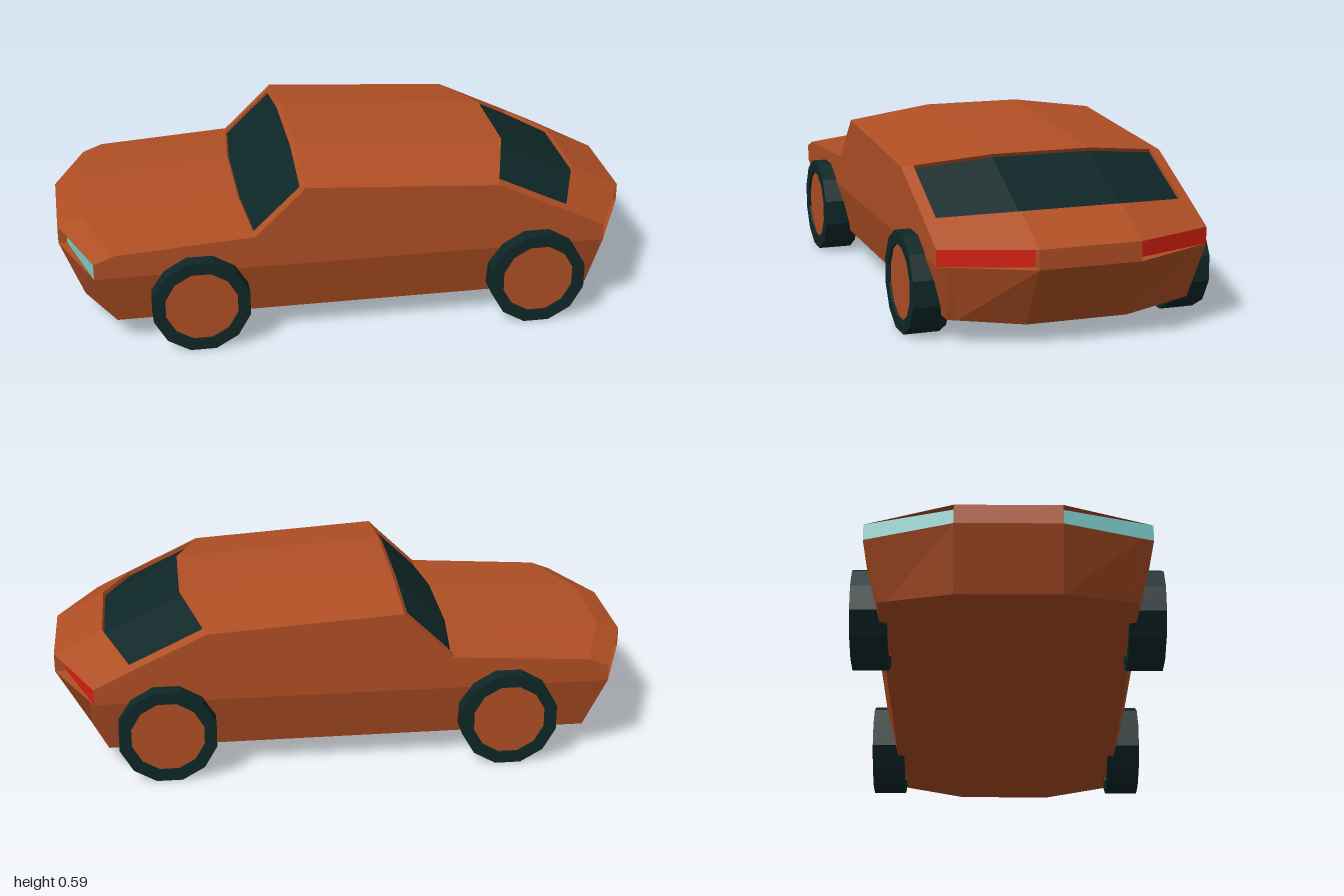
import * as THREE from 'three';

const mat = (name, color) => {
  const m = new THREE.MeshStandardMaterial({ color });
  m.name = name;
  return m;
};

// Collects flat polygons as fans of separate triangles
class Faces {
  constructor() { this.data = []; }
  add(points, flip = false) {
    const p = flip ? [...points].reverse() : points;
    for (let i = 1; i < p.length - 1; i++) {
      for (const v of [p[0], p[i], p[i + 1]]) this.data.push(...v);
    }
  }
  mesh(name, material) {
    const g = new THREE.BufferGeometry();
    g.setAttribute('position', new THREE.Float32BufferAttribute(this.data, 3));
    g.computeVertexNormals();
    const m = new THREE.Mesh(g, material);
    m.name = name;
    return m;
  }
}

// Body loop seen from the side: centre x, y, edge x, y, edge z
const W = 0.457, C = 0.17, WAIST = 0.27;
const ROWS = [
  [-1, 0.335, -0.89, 0.325, W],       // nose top
  [-0.92, 0.365, -0.82, 0.352, W],    // bonnet front
  [-0.375, 0.40, -0.35, 0.383, W],    // windscreen base
  [-0.19, 0.578, -0.195, 0.533, W],   // windscreen top
  [-0.175, 0.592, -0.18, 0.55, W],    // roof front
  [0.56, 0.548, 0.48, 0.508, W],      // roof rear
  [0.83, 0.418, 0.725, 0.391, W],     // rear deck
  [1, 0.335, 0.86, 0.325, W],         // tail top
  [1, WAIST, 0.86, WAIST, W],         // tail waist
  [0.885, 0.065, 0.82, 0.085, 0.412], // rear floor
  [-0.92, 0.065, -0.82, 0.085, 0.412],// front floor
  [-1, WAIST, -0.89, WAIST, W],       // nose waist
];
const COLUMNS = [-1, -0.87, 0, 0, 0.87, 1];
const at = (i, j) => {
  const [cx, cy, ex, ey, ez] = ROWS[i % ROWS.length];
  const t = Math.abs(COLUMNS[j]);
  const z = C + (ez - C) * t;
  return [cx + (ex - cx) * t, cy + (ey - cy) * t, j < 3 ? -z : z];
};

export function createModel() {
  const paint = mat('orange paint', 0xb04f24);
  const dark = mat('dark glass and rubber', 0x0f2727);
  const red = mat('red lamp', 0xd62010);
  const pale = mat('pale blue lamp', 0x7cccc8);
  const car = new THREE.Group();
  car.name = 'car';

  // Shell, leaving openings for the two windows and the lamps
  const body = new Faces();
  const isWindow = (i) => i === 2 || i === 5;
  const isLamp = (i) => i === 7 || i === 11;
  for (let i = 0; i < ROWS.length; i++) {
    for (let j = 0; j < 5; j++) {
      if (isWindow(i) && j > 0 && j < 4) continue;
      if (isLamp(i) && j !== 2) continue;
      body.add([at(i, j), at(i, j + 1), at(i + 1, j + 1), at(i + 1, j)]);
    }
  }

  // Flat sides above the waist and tapered sills below
  for (const j of [0, 5]) {
    for (let i = 0; i < 7; i++) {
      const a = at(i, j), b = at(i + 1, j);
      body.add([[a[0], WAIST, a[2]], [b[0], WAIST, b[2]], b, a], j === 0);
    }
    body.add([at(10, j), at(9, j), at(8, j), at(11, j)], j === 0);
  }

  // Recessed windows with a painted rim
  for (const [name, i, dx, dy] of [['windscreen', 2, 0.006, -0.006], ['rearWindow', 5, -0.007, -0.012]]) {
    const glass = new Faces();
    const sink = ([x, y, z]) => [x + dx, y + dy, z];
    const ring = [1, 2, 3, 4].map((j) => at(i, j)).concat([4, 3, 2, 1].map((j) => at(i + 1, j)));
    for (let j = 1; j < 4; j++) {
      glass.add([at(i, j), at(i, j + 1), at(i + 1, j + 1), at(i + 1, j)].map(sink));
    }
    ring.forEach((p, k) => {
      const q = ring[(k + 1) % ring.length];
      body.add([p, q, sink(q), sink(p)]);
    });
    car.add(glass.mesh(name, dark));
  }

  // Lamps set into the slanted corners
  for (const end of [1, -1]) {
    for (const side of [1, -1]) {
      const flip = end * side < 0;
      const j = side > 0 ? 5 : 0;
      const top = end > 0 ? 7 : 0, low = end > 0 ? 8 : 11;
      const outerTop = at(top, j), outerLow = at(low, j);
      const noseTop = [end, 0.335, C * side], noseLow = [end, WAIST, C * side];
      const x = end > 0 ? 0.96 : -0.97;
      const insetTop = [x, 0.335, C * side], insetLow = [x, WAIST, C * side];
      const lamp = new Faces();
      lamp.add([outerLow, insetLow, insetTop, outerTop], flip);
      body.add([insetLow, noseLow, noseTop, insetTop], flip);
      body.add([outerLow, noseLow, insetLow], flip);
      body.add([outerTop, insetTop, noseTop], flip);
      const label = side > 0 ? 'Near' : 'Far';
      car.add(lamp.mesh((end > 0 ? 'tailLamp' : 'headLamp') + label, end > 0 ? red : pale));
    }
  }
  car.add(body.mesh('body', paint));

  // Twelve-sided wheels with flats at the bottom
  const R = 0.163 / Math.cos(Math.PI / 12), HUB = 0.126, HALF = 0.06;
  const profile = [[HUB, -HALF], [R, -HALF], [R, HALF], [HUB, HALF], [HUB, -HALF]]
    .map(([r, y]) => new THREE.Vector2(r, y));
  const tyreGeo = new THREE.LatheGeometry(profile, 12, Math.PI / 12).toNonIndexed();
  tyreGeo.computeVertexNormals();
  const hubGeo = new THREE.CylinderGeometry(HUB, HUB, 2 * HALF - 0.016, 12, 1, false, Math.PI / 12);
  for (const x of [-0.54, 0.62]) {
    for (const z of [0.449, -0.449]) {
      const wheel = new THREE.Group();
      wheel.name = (x < 0 ? 'front' : 'rear') + 'Wheel' + (z > 0 ? 'Near' : 'Far');
      const tyre = new THREE.Mesh(tyreGeo, dark);
      tyre.name = 'tyre';
      const hub = new THREE.Mesh(hubGeo, paint);
      hub.name = 'hub';
      wheel.add(tyre, hub);
      wheel.rotation.x = Math.PI / 2;
      wheel.position.set(x, 0.163, z);
      car.add(wheel);
    }
  }
  return car;
}
